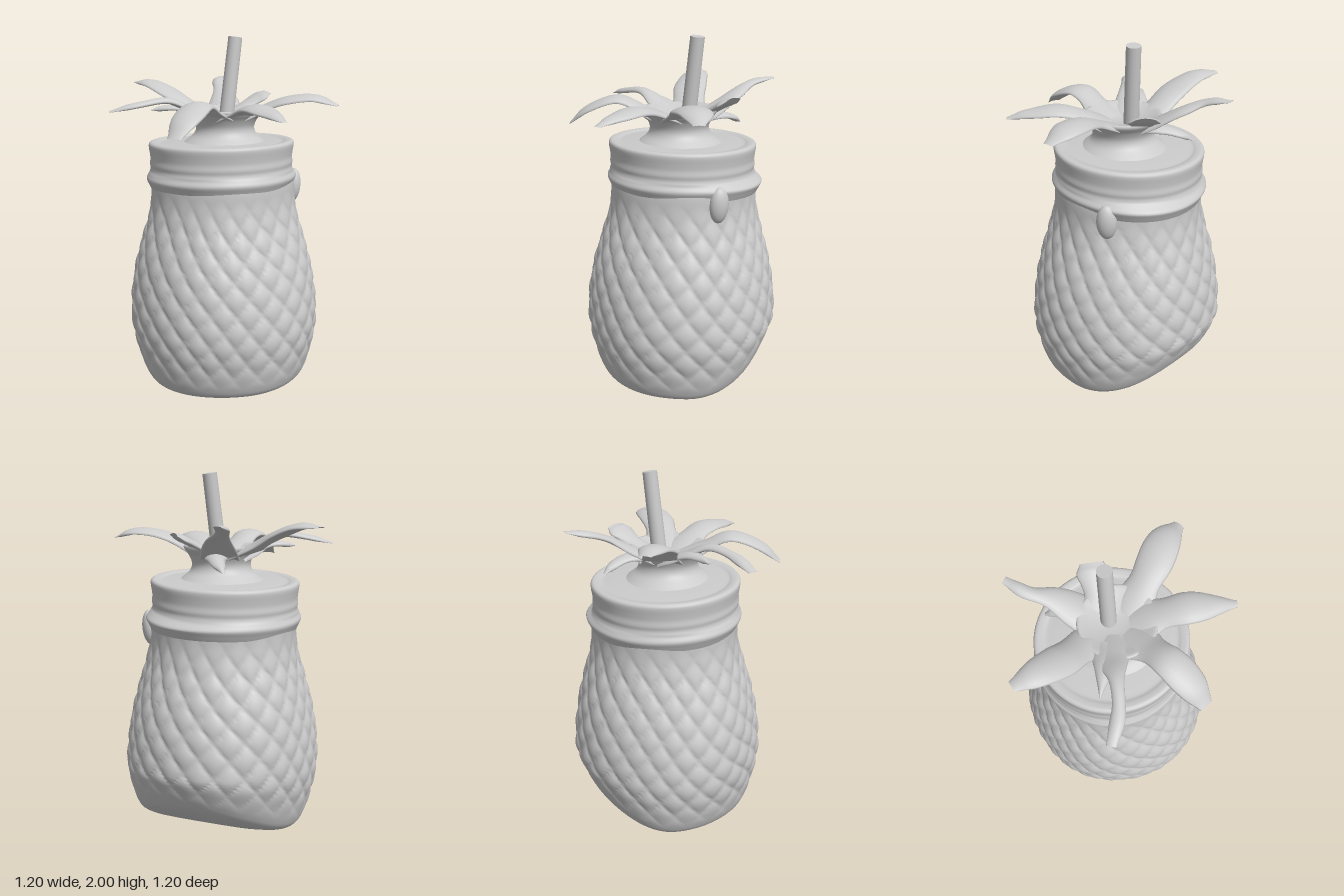
import * as THREE from 'three';
import { mergeVertices } from 'three/addons/utils/BufferGeometryUtils.js';

const grey = new THREE.MeshStandardMaterial({ color: 0xcccccc, side: THREE.DoubleSide });
const V = (a) => new THREE.Vector3(...a);
const clamp = THREE.MathUtils.clamp;

function add(group, name, geometry) {
  const mesh = new THREE.Mesh(geometry, grey);
  mesh.name = name;
  group.add(mesh);
  return mesh;
}

// Smooth turned shape whose vertices are then moved by a rule
function turned(profile, steps, sides, rule) {
  const curve = new THREE.SplineCurve(profile.map(([r, y]) => new THREE.Vector2(r, y)));
  const points = curve.getSpacedPoints(steps);
  points.forEach((p) => { p.x = Math.max(p.x, 0); });
  let g = new THREE.LatheGeometry(points, sides);
  const pos = g.attributes.position;
  const v = new THREE.Vector3();
  for (let i = 0; i < pos.count; i++) {
    v.fromBufferAttribute(pos, i);
    rule(v);
    pos.setXYZ(i, v.x, v.y, v.z);
  }
  g.deleteAttribute('uv');
  g.deleteAttribute('normal');
  g = mergeVertices(g, 1e-5);
  g.computeVertexNormals();
  return g;
}

// Soft diamond relief, underside rising smoothly toward the back left, slight lean
function bodyRule(v) {
  const r = Math.hypot(v.x, v.z);
  const a = Math.atan2(v.z, v.x);
  const s = Math.max(0.74 * v.x - 0.67 * v.z, 0);
  v.y += s * s * clamp(1 - v.y / 0.45, 0, 1);
  if (r > 0.35) {
    const foot = 0.1 + 0.45 * Math.max(s - 0.1, 0);
    const fade = clamp((v.y - foot) / 0.15, 0, 1) * clamp((1.17 - v.y) / 0.2, 0, 1);
    const u = 11 * a + 0.3 * Math.sin(3 * a) + 0.25 * Math.sin(7 * v.y + 2 * a);
    const w = 17 * v.y + 0.3 * Math.sin(4 * a);
    const bump = Math.sqrt(Math.abs(Math.sin(u + w) * Math.sin(u - w)));
    const k = 1 + (fade * (0.018 * bump - 0.012) + 0.004 * Math.sin(5 * a + 4 * v.y)) / r;
    v.x *= k;
    v.z *= k;
  }
  const t = clamp(v.y / 1.3, 0, 1);
  v.x += 0.045 - 0.01 * t;
  v.z += -0.03 - 0.025 * t;
  v.y += 0.05 * clamp(v.z, 0, 1) * (1 - t);
}

// Leaf: lens-shaped cross-sections swept along a curve
function leafGeometry(path, widths, thickness = 0.014, sag = 0.18) {
  const curve = new THREE.CatmullRomCurve3(path.map(V));
  const widthCurve = new THREE.SplineCurve(widths.map((w, i) => new THREE.Vector2(i, w)));
  const rings = 28, sides = 16, pos = [], index = [];
  for (let i = 0; i <= rings; i++) {
    const t = i / rings;
    const c = curve.getPoint(t);
    const tangent = curve.getTangent(t);
    const side = new THREE.Vector3(0, 1, 0).cross(tangent).normalize();
    const up = tangent.clone().cross(side);
    const half = Math.max(widthCurve.getPoint(t).y, 0.004) / 2;
    const th = thickness * Math.min(1, (1 - t) * 6 + 0.15) * (1.5 - 0.5 * t);
    for (let j = 0; j < sides; j++) {
      const f = (j / sides) * Math.PI * 2;
      const x = Math.cos(f);
      const p = c.clone().addScaledVector(side, x * half)
        .addScaledVector(up, Math.sin(f) * th - sag * half * x * x);
      pos.push(p.x, p.y, p.z);
      if (i < rings) {
        const a = i * sides + j, b = i * sides + (j + 1) % sides;
        index.push(a, b, a + sides, b, b + sides, a + sides);
      }
    }
  }
  const g = new THREE.BufferGeometry();
  g.setAttribute('position', new THREE.Float32BufferAttribute(pos, 3));
  g.setIndex(index);
  g.computeVertexNormals();
  return g;
}

export function createModel() {
  const model = new THREE.Group();
  model.name = 'pineappleJar';

  // Jar body
  add(model, 'jarBody', turned([
    [0, 0.005], [0.2, 0.008], [0.36, 0.015], [0.45, 0.04], [0.49, 0.1], [0.518, 0.2],
    [0.542, 0.33], [0.545, 0.45], [0.53, 0.6], [0.5, 0.75], [0.457, 0.9], [0.428, 1.0],
    [0.411, 1.1], [0.408, 1.2], [0.4, 1.25],
  ], 130, 220, bodyRule));

  // Screw lid with collar and faint thread ridges, tipped slightly back
  add(model, 'lid', turned([
    [0.4, 1.165], [0.412, 1.19], [0.425, 1.222], [0.413, 1.25], [0.403, 1.28], [0.406, 1.305],
    [0.403, 1.335], [0.406, 1.365], [0.411, 1.4], [0.409, 1.418], [0.395, 1.427], [0.365, 1.424],
    [0.345, 1.418], [0.28, 1.422], [0.15, 1.428], [0, 1.43],
  ], 90, 96, (v) => {
    const a = Math.atan2(v.z, v.x);
    if (v.y < 1.26) {
      const swell = 0.07 * clamp((1.26 - v.y) / 0.04, 0, 1) * Math.max(Math.cos(a + 0.3), 0) ** 4;
      const k = 1 + swell + 0.008 * Math.sin(4 * a + 1);
      v.x *= k;
      v.z *= k;
    }
    v.y += 0.036 * v.z;
    v.x += 0.03;
    v.z -= 0.055;
  }));

  // Low lug below the collar
  const lug = add(model, 'lug', new THREE.SphereGeometry(1, 24, 16));
  lug.scale.set(0.045, 0.1, 0.055);
  lug.position.set(0.41, 1.155, 0.12);
  lug.rotation.set(0, -0.35, -0.08);

  // Crown cup
  add(model, 'crownCup', turned([
    [0.25, 1.41], [0.215, 1.435], [0.175, 1.47], [0.163, 1.51], [0.18, 1.555], [0.205, 1.59],
    [0.207, 1.608], [0.19, 1.608], [0.13, 1.585], [0.06, 1.565], [0, 1.56],
  ], 48, 64, (v) => {
    v.x += 0.035;
    v.z -= 0.02;
  }));

  // Crown leaves: path points from the root to the tip, then widths
  const leaves = {
    frontLeaf: [[[0.03, 1.55, 0.05], [0.03, 1.6, 0.16], [0.02, 1.645, 0.32], [0.01, 1.63, 0.46], [0, 1.6, 0.595]],
      [0.26, 0.25, 0.17, 0.18, 0.16, 0.1, 0.04]],
    frontLeftLeaf: [[[0.08, 1.55, 0.04], [0.17, 1.605, 0.12], [0.28, 1.665, 0.22], [0.4, 1.68, 0.31], [0.49, 1.64, 0.41]],
      [0.22, 0.22, 0.17, 0.19, 0.19, 0.15, 0.06]],
    frontRightLeaf: [[[-0.02, 1.55, 0.02], [-0.12, 1.6, 0.09], [-0.24, 1.66, 0.17], [-0.37, 1.61, 0.26], [-0.47, 1.52, 0.32]],
      [0.22, 0.22, 0.16, 0.17, 0.18, 0.15, 0.08]],
    sideRightLeaf: [[[-0.02, 1.55, -0.08], [-0.14, 1.6, -0.09], [-0.28, 1.66, -0.095], [-0.44, 1.645, -0.12], [-0.59, 1.61, -0.19]],
      [0.24, 0.23, 0.15, 0.08, 0.065, 0.075, 0.05]],
    sideRightStub: [[[-0.06, 1.57, -0.11], [-0.2, 1.615, -0.14], [-0.34, 1.605, -0.19]],
      [0.16, 0.12, 0.07, 0.01]],
    backRightLeaf: [[[0, 1.54, -0.1], [-0.05, 1.6, -0.21], [-0.13, 1.68, -0.33], [-0.19, 1.73, -0.46], [-0.235, 1.73, -0.59]],
      [0.22, 0.21, 0.18, 0.19, 0.17, 0.13, 0.06]],
    backLeftLeaf: [[[0.08, 1.54, -0.1], [0.14, 1.6, -0.2], [0.2, 1.67, -0.31], [0.235, 1.72, -0.43], [0.315, 1.745, -0.53]],
      [0.22, 0.21, 0.18, 0.13, 0.08, 0.07, 0.04]],
    sideLeftLeaf: [[[0.1, 1.55, -0.08], [0.19, 1.6, -0.09], [0.27, 1.645, -0.09], [0.345, 1.685, -0.085]],
      [0.24, 0.22, 0.13, 0.14, 0.17, 0.12]],
    lowLeaf: [[[0.1, 1.55, -0.1], [0.16, 1.56, -0.2], [0.19, 1.54, -0.29], [0.2, 1.5, -0.37]],
      [0.14, 0.12, 0.09, 0.07, 0.02]],
  };
  const crown = new THREE.Group();
  crown.name = 'crownLeaves';
  for (const [name, [path, widths]] of Object.entries(leaves)) {
    add(crown, name, leafGeometry(path, widths));
  }
  model.add(crown);

  // Straw leaning toward the left side
  const from = V([0.06, 1.5, -0.06]), to = V([0.125, 1.995, -0.06]);
  const straw = add(model, 'straw', new THREE.CylinderGeometry(0.039, 0.042, from.distanceTo(to), 32));
  straw.position.copy(from).add(to).multiplyScalar(0.5);
  straw.quaternion.setFromUnitVectors(V([0, 1, 0]), to.clone().sub(from).normalize());

  return model;
}
